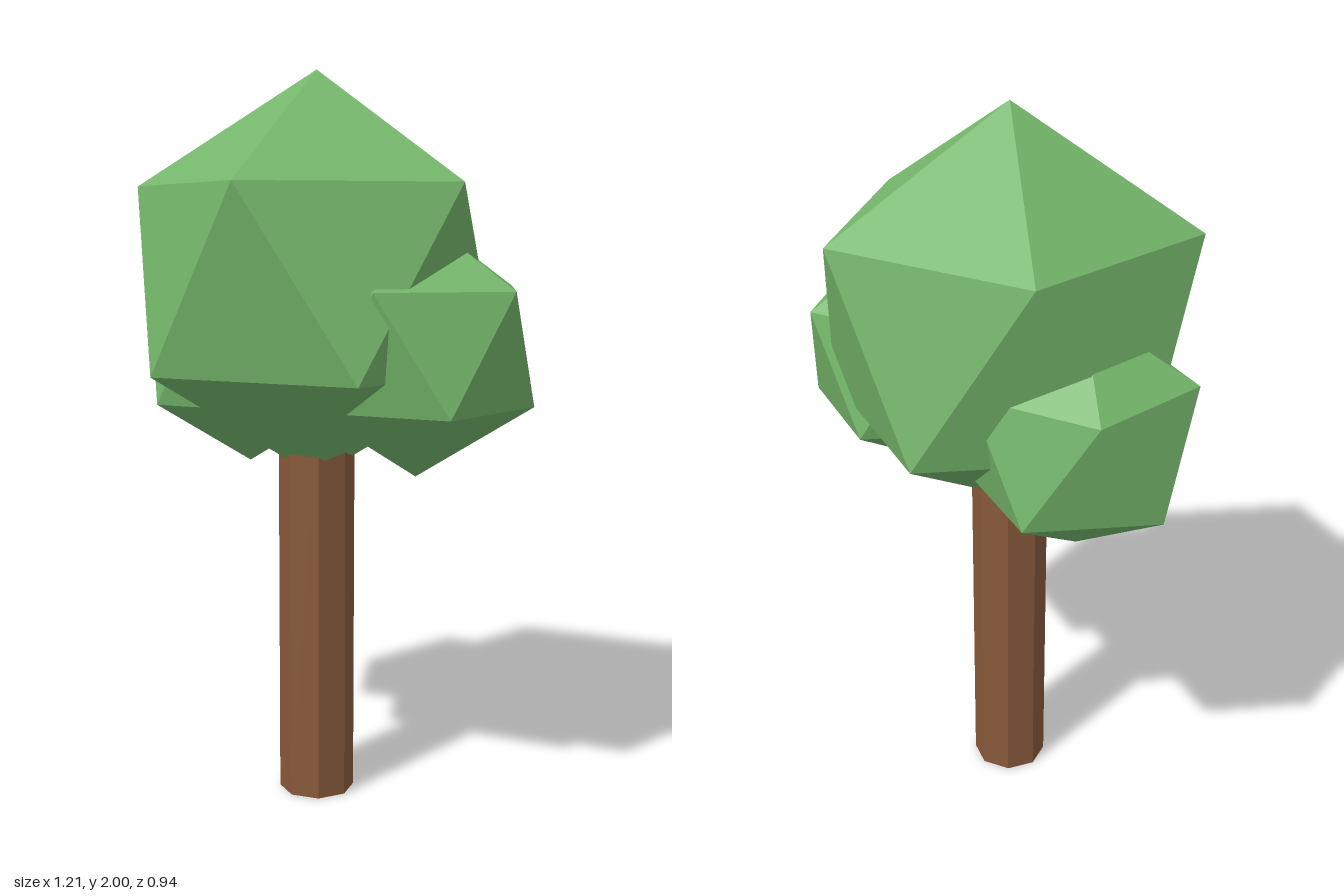
import * as THREE from 'three';

// Icosahedron standing on one vertex, with a vertex of its upper ring towards +x
function foliageGeometry(radius) {
  const corners = [0, 1, 0, 0, -1, 0]; // 0 top, 1 bottom, then upper and lower pairs
  const faces = [];
  const h = 1 / Math.sqrt(5);
  const r = 2 * h;
  for (let i = 0; i < 5; i++) {
    const a = (i * Math.PI * 2) / 5;
    const b = a + Math.PI / 5;
    corners.push(r * Math.cos(a), h, -r * Math.sin(a));
    corners.push(r * Math.cos(b), -h, -r * Math.sin(b));
    const u = 2 + 2 * i, l = u + 1;
    const u2 = 2 + 2 * ((i + 1) % 5), l2 = u2 + 1;
    faces.push(0, u, u2, u, l, u2, l, l2, u2, 1, l2, l);
  }
  return new THREE.PolyhedronGeometry(corners, faces, radius, 0);
}

export function createModel() {
  const group = new THREE.Group();
  group.name = 'tree';

  const leafGreen = new THREE.MeshStandardMaterial({ color: 0x74b56a, flatShading: true });
  leafGreen.name = 'leaf green';
  const barkBrown = new THREE.MeshStandardMaterial({ color: 0x87593a, flatShading: true });
  barkBrown.name = 'bark brown';

  // Eight-sided trunk, running up into the crown
  const trunk = new THREE.Mesh(new THREE.CylinderGeometry(0.105, 0.105, 1.1, 8), barkBrown);
  trunk.name = 'trunk';
  trunk.position.set(-0.004, 0.55, 0);
  group.add(trunk);

  // Main crown with a smaller clump on each side
  const clumps = [
    ['crown', 0.55, -0.004, 1.45, 0],
    ['leftClump', 0.345, 0.297, 1.275, -0.06],
    ['rightClump', 0.33, -0.312, 1.237, -0.048],
  ];
  for (const [name, radius, x, y, z] of clumps) {
    const clump = new THREE.Mesh(foliageGeometry(radius), leafGreen);
    clump.name = name;
    clump.position.set(x, y, z);
    group.add(clump);
  }
  return group;
}
